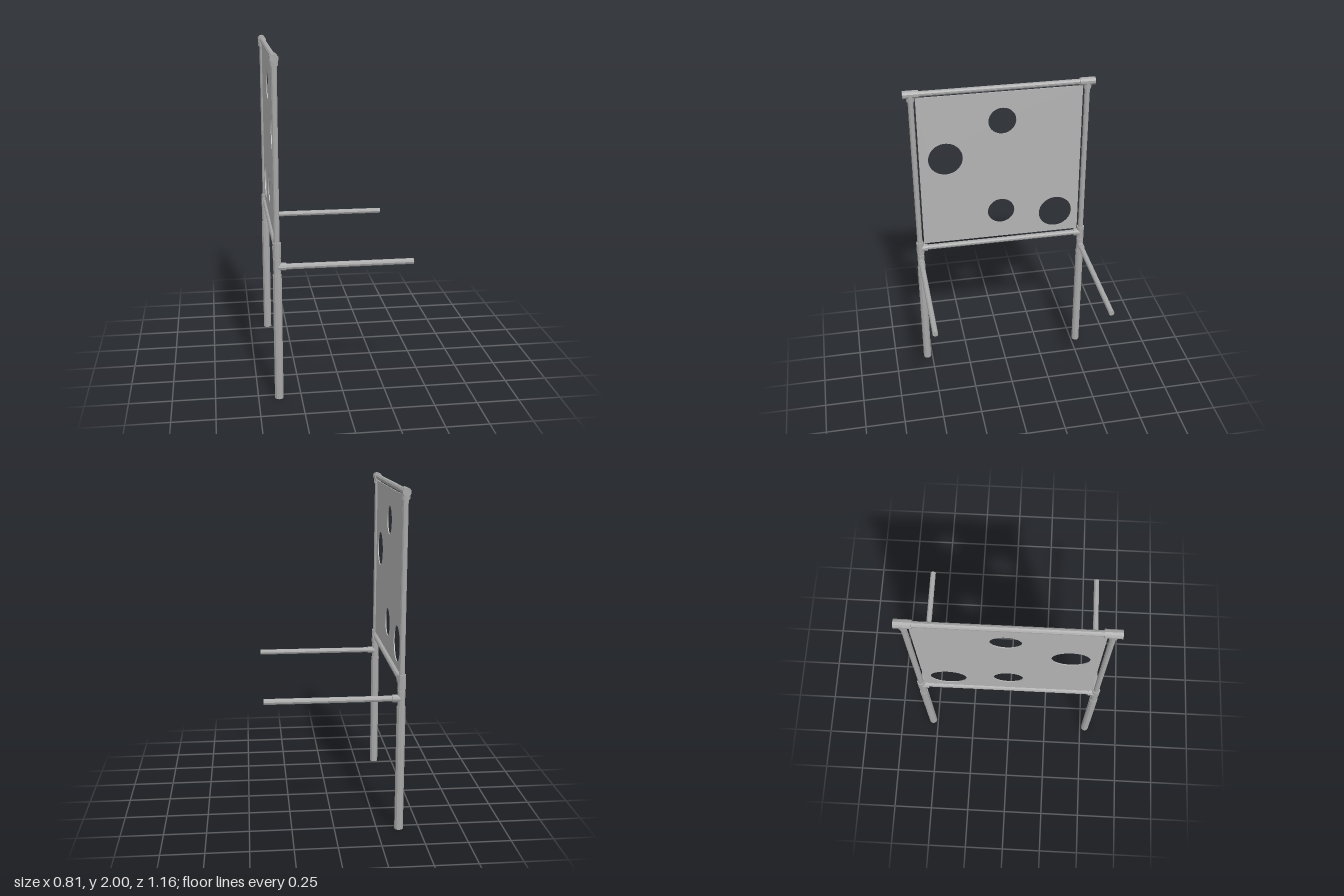
import * as THREE from 'three';

const X = -0.38;     // plane of the frame
const SIDE = 0.534;  // distance of each post from the middle
const TOP = 1.975, LOWER = 0.907, ARM = 0.808;
const PIPE = 0.017, SLEEVE = 0.0245;

export function createModel() {
  const model = new THREE.Group();
  model.name = 'pipeFrameTarget';

  const pipeGrey = new THREE.MeshStandardMaterial({ color: 0xa8a8a8, flatShading: true });
  pipeGrey.name = 'pipeGrey';
  const panelGrey = new THREE.MeshStandardMaterial({ color: 0xb4b4b4, side: THREE.DoubleSide });
  panelGrey.name = 'panelGrey';

  // Straight faceted pipe between two points
  function pipe(name, parent, from, to, radius) {
    const a = new THREE.Vector3(...from), b = new THREE.Vector3(...to);
    const dir = b.clone().sub(a);
    const mesh = new THREE.Mesh(new THREE.CylinderGeometry(radius, radius, dir.length(), 10), pipeGrey);
    mesh.name = name;
    mesh.position.copy(a).add(b).multiplyScalar(0.5);
    mesh.quaternion.setFromUnitVectors(new THREE.Vector3(0, 1, 0), dir.normalize());
    parent.add(mesh);
  }

  // Two posts, each with its fittings and a forward arm
  for (const s of [1, -1]) {
    const post = new THREE.Group();
    post.name = s > 0 ? 'frontPost' : 'backPost';
    const z = s * SIDE;
    pipe('leg', post, [X, 0, z], [X, 0.76, z], 0.026);
    pipe('upright', post, [X, 0.74, z], [X, TOP, z], PIPE);

    // Arm and its tee fitting
    pipe('armTeeBody', post, [X, 0.75, z], [X, 0.855, z], 0.0225);
    pipe('armTeeSocket', post, [X, ARM, z], [-0.328, ARM, z], 0.0225);
    pipe('arm', post, [X, ARM, z], [0.403, ARM, z], PIPE);

    // Lower rail tee fitting
    pipe('lowerTeeBody', post, [X, 0.863, z], [X, 0.95, z], SLEEVE);
    pipe('lowerTeeSocket', post, [X, LOWER, z], [X, LOWER, s * 0.487], SLEEVE);

    // Top rail tee fitting
    pipe('topTeeBody', post, [X, TOP, s * 0.486], [X, TOP, s * 0.58], SLEEVE);
    pipe('topTeeSocket', post, [X, 1.932, z], [X, TOP, z], SLEEVE);
    model.add(post);
  }

  // Cross rails
  pipe('topRail', model, [X, TOP, -SIDE], [X, TOP, SIDE], PIPE);
  pipe('lowerRail', model, [X, LOWER, -SIDE], [X, LOWER, SIDE], PIPE);

  // Thin panel with four round holes
  const shape = new THREE.Shape([
    [-0.507, 0.94], [0.507, 0.94], [0.507, 1.95], [-0.507, 1.95],
  ].map(([z, y]) => new THREE.Vector2(z, y)));
  for (const [z, y, r] of [
    [-0.012, 1.76, 0.086], [0.344, 1.533, 0.107], [0, 1.13, 0.086], [-0.356, 1.085, 0.107],
  ]) {
    shape.holes.push(new THREE.Path().absarc(z, y, r, 0, Math.PI * 2, true));
  }
  const geometry = new THREE.ExtrudeGeometry(shape, { depth: 0.006, bevelEnabled: false, curveSegments: 32 });
  geometry.translate(0, 0, -0.003);
  geometry.rotateY(-Math.PI / 2);
  const panel = new THREE.Mesh(geometry, panelGrey);
  panel.name = 'targetPanel';
  panel.position.x = X;
  model.add(panel);

  return model;
}
